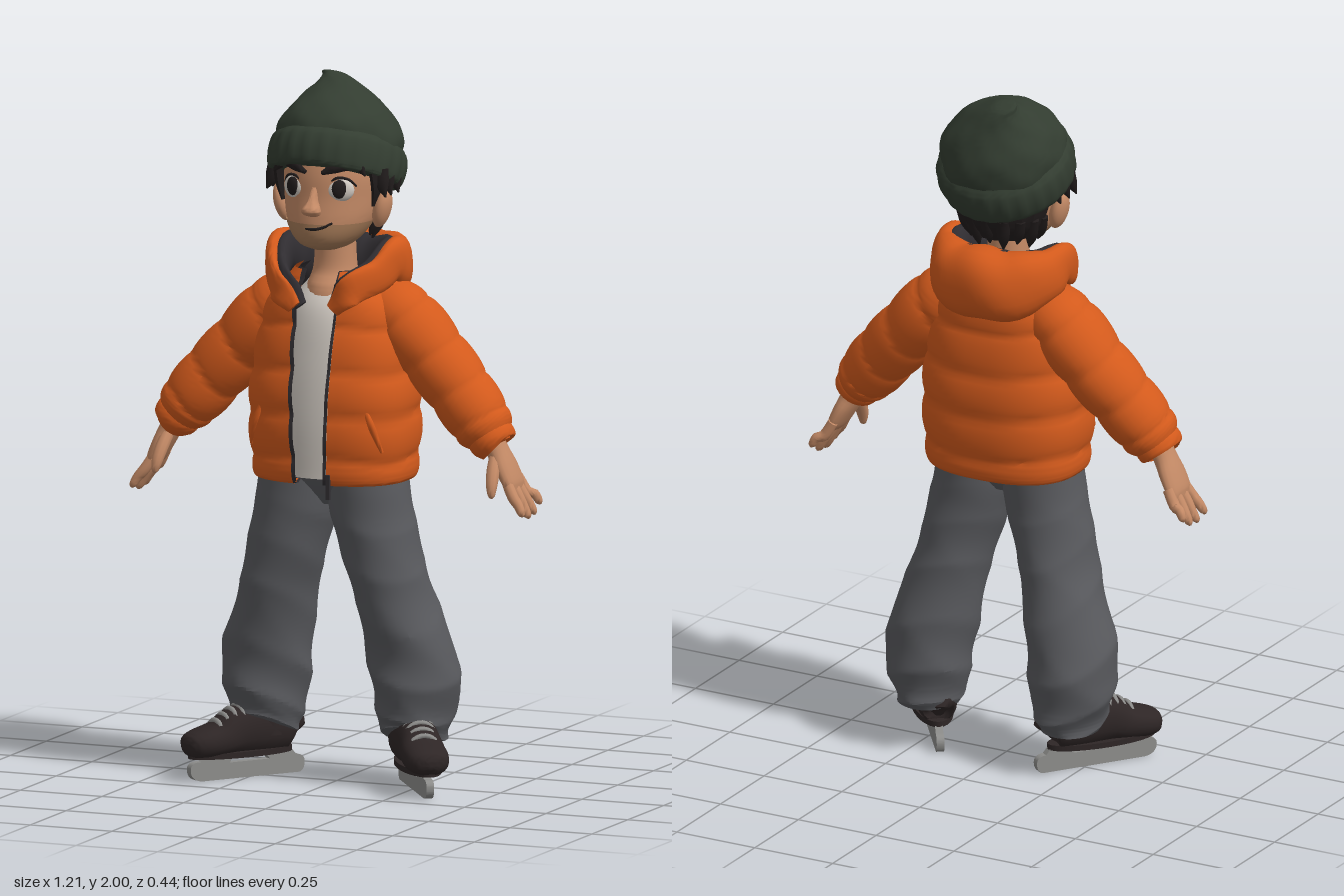
import * as THREE from 'three';
import { toCreasedNormals } from 'three/addons/utils/BufferGeometryUtils.js';

const PI = Math.PI, TAU = PI * 2;
const mat = (name, color, side = THREE.FrontSide) => {
  const m = new THREE.MeshStandardMaterial({ color, side });
  m.name = name;
  return m;
};

// Skin a row of elliptical sections [x, y, z, radiusA, radiusB]
function loft(secs, o = {}) {
  const { seg = 24, rings = 24, ref = [0, 0, 1], level = false, e = 1, grow = 0, u0 = 0, u1 = 1,
    caps = true, crease = 0.9, arc = () => [0, TAU], bump = () => 1, warp = () => {} } = o;
  const curve = f => new THREE.CatmullRomCurve3(secs.map(f), false, 'catmullrom', 0.5);
  const path = curve(s => new THREE.Vector3(s[0], s[1], s[2]));
  const size = curve(s => new THREE.Vector3(s[3], s[4], 0));
  const pos = [], idx = [], up = new THREE.Vector3(...ref);
  const pw = v => Math.sign(v) * Math.abs(v) ** e;
  for (let i = 0; i <= rings; i++) {
    const u = u0 + (u1 - u0) * i / rings, c = path.getPoint(u), r = size.getPoint(u);
    const t = level ? new THREE.Vector3(0, 1, 0) : path.getTangent(u);
    const B = up.clone().addScaledVector(t, -up.dot(t)).normalize();
    const A = t.clone().cross(B);
    const [a0, a1] = arc(u);
    for (let j = 0; j <= seg; j++) {
      const a = a0 + (a1 - a0) * j / seg, k = bump(u, a, c);
      const p = c.clone().addScaledVector(A, (r.x * k + grow) * pw(Math.cos(a)))
        .addScaledVector(B, (r.y * k + grow) * pw(Math.sin(a)));
      warp(p, u, a);
      pos.push(p.x, p.y, p.z);
    }
  }
  const w = seg + 1;
  for (let i = 0; i < rings; i++) for (let j = 0; j < seg; j++) {
    const p = i * w + j;
    idx.push(p, p + w, p + 1, p + 1, p + w, p + w + 1);
  }
  if (caps) [[u0, 0], [u1, rings * w]].forEach(([u, base], end) => {
    const c = path.getPoint(u), n = pos.length / 3;
    pos.push(c.x, c.y, c.z);
    for (let j = 0; j < seg; j++) idx.push(n, base + j + end, base + j + 1 - end);
  });
  const g = new THREE.BufferGeometry();
  g.setAttribute('position', new THREE.Float32BufferAttribute(pos, 3));
  g.setIndex(idx);
  return toCreasedNormals(g, crease);
}

export function createModel() {
  const D = THREE.DoubleSide;
  const orange = mat('jacket orange', 0xd35a1c, D), lining = mat('lining charcoal', 0x302d31, D),
    grey = mat('trouser grey', 0x595a5e), green = mat('knit green', 0x333d31), skin = mat('skin', 0xc48a66),
    stubble = mat('stubble', 0xa67b58, D), black = mat('hair black', 0x211c1c, D),
    cream = mat('shirt cream', 0xcfc8c0), leather = mat('boot leather', 0x2e2626), steel = mat('steel', 0x8d8d8b);
  const model = new THREE.Group();
  const add = (name, geo, m, parent = model) => {
    const mesh = new THREE.Mesh(geo, m);
    mesh.name = name;
    parent.add(mesh);
    return mesh;
  };
  const ball = (name, m, p, s, parent = model) => {
    const b = add(name, new THREE.SphereGeometry(1, 20, 14), m, parent);
    b.position.set(...p);
    b.scale.set(...s);
    return b;
  };
  const group = (name, parent = model) => {
    const g = new THREE.Group();
    g.name = name;
    parent.add(g);
    return g;
  };

  // Jacket body: quilted shell, open at the front
  const body = [[0, .885, .01, .2, .16], [0, .875, .01, .225, .18], [0, .94, .01, .238, .192], [0, 1.1, .01, .243, .195],
    [0, 1.25, .005, .226, .178], [0, 1.36, 0, .2, .16], [0, 1.43, 0, .145, .145], [0, 1.47, 0, .11, .12]];
  const gap = u => .15 + .3 * u ** 3;
  const puff = (x, d) => 1 - d + d * Math.abs(Math.sin(PI * x)) ** .5;
  const quilt = (u, a, c) => puff((c.y - .94) / .125 + .06 * Math.sin(3 * a), .06);
  const shell = { level: true, e: .8, caps: false, seg: 56, rings: 70, bump: quilt };
  const open = u => [PI / 2 + gap(u), PI / 2 + TAU - gap(u)];
  add('jacketBody', loft(body, { ...shell, arc: open }), orange);
  add('jacketLining', loft(body, { ...shell, arc: open, grow: -.014, rings: 40 }), lining);
  for (const s of [1, -1]) {
    const edge = u => [PI / 2 - s * gap(u), PI / 2 - s * (gap(u) - .035)].sort((p, q) => p - q);
    add('zip', loft(body, { ...shell, seg: 2, arc: edge, grow: .003, u0: .14 }), lining);
    add('pocketWelt', loft([[s * .155, 1.1, .163, .005, .005], [s * .178, 1.04, .16, .011, .01],
      [s * .2, .97, .141, .005, .005]], { seg: 8, rings: 8 }), orange);
  }
  const pull = add('zipPull', new THREE.BoxGeometry(.012, .07, .01), lining);
  pull.position.set(.058, .87, .195);

  // Hood folded down round the neck, with thin collar ends and a wide lining
  const half = [[.06, 1.37, .165, .01, .022], [.112, 1.428, .163, .013, .044], [.16, 1.46, .085, .02, .05],
    [.176, 1.495, .01, .028, .06], [.158, 1.482, -.06, .046, .077], [.092, 1.458, -.116, .076, .097]];
  const flip = ([x, ...r]) => [-x, ...r];
  const hood = [...half, [0, 1.455, -.137, .085, .104], ...half.map(flip).reverse()];
  add('hood', loft(hood, { ref: [0, 1, 0], seg: 20, rings: 60, e: .85,
    bump: (u, a) => 1 + .035 * Math.sin(u * 50 + 2 * Math.sin(a)) }), orange);
  add('hoodLining', loft(hood.map(([x, y, z, a, b]) => [x * .86, y, z * .85 - .002, a * .85 + .006, b * .96]),
    { ref: [0, 1, 0], seg: 16, rings: 48 }), lining);

  // Shirt and neck
  add('shirt', loft([[0, .885, .01, .18, .155], [0, 1.05, .01, .185, .16], [0, 1.22, .01, .175, .15],
    [0, 1.36, .005, .13, .13], [0, 1.44, 0, .07, .075]], { level: true }), cream);
  add('neck', loft([[0, 1.36, .02, .085, .1], [0, 1.42, .015, .075, .09], [0, 1.47, .01, .062, .064],
    [0, 1.57, .01, .056, .06]], { level: true }), skin);

  // Trousers
  add('trouserSeat', loft([[0, .8, .018, .1, .06], [0, .84, .018, .16, .09], [0, .89, .02, .19, .115],
    [0, .96, .02, .19, .13]], { level: true, e: .85 }), grey);

  for (const s of [1, -1]) {
    const side = s > 0 ? 'left' : 'right';
    const mx = secs => secs.map(([x, ...r]) => [x * s, ...r]);

    // Sleeve and cuff
    const arm = group(side + 'Arm');
    add('sleeve', loft(mx([[.13, 1.385, -.02, .075, .09], [.2, 1.322, -.02, .1, .112], [.295, 1.222, -.018, .097, .11],
      [.38, 1.13, -.005, .094, .102], [.448, 1.05, .008, .087, .095], [.48, 1.01, .014, .066, .076]]),
    { seg: 28, rings: 60, bump: (u, a) => puff(u * 5 + .1 * Math.sin(2 * a), .09) }), orange, arm);
    add('cuff', loft(mx([[.465, 1.03, .012, .06, .07], [.478, 1.013, .013, .067, .076], [.492, .992, .015, .062, .072],
      [.495, .988, .015, .045, .05]]), { rings: 10 }), orange, arm);

    // Hand with splayed fingers
    const hand = group(side + 'Hand');
    add('palm', loft(mx([[.475, 1.02, .015, .034, .038], [.5, .975, .015, .031, .04], [.522, .935, .013, .028, .053],
      [.545, .89, .01, .022, .056], [.555, .87, .01, .013, .048]]), { rings: 14, seg: 18 }), skin, hand);
    [[.05, .803], [.018, .792], [-.012, .797], [-.04, .82]].forEach(([z, y]) => add('finger', loft(mx([
      [.538, .9, z * .9, .015, .016], [.563, .857, z * 1.1 + .002, .016, .016], [.583, y + .03, z * 1.25, .014, .014],
      [.595, y + .009, z * 1.35, .011, .011], [.599, y, z * 1.35, .003, .003]]), { seg: 10, rings: 12 }), skin, hand));
    add('thumb', loft(mx([[.5, .965, .03, .017, .022], [.507, .925, .066, .019, .019], [.512, .888, .088, .016, .016],
      [.515, .862, .096, .01, .01], [.516, .854, .097, .002, .002]]), { seg: 10, rings: 12 }), skin, hand);

    // Trouser leg, wrinkled towards the hem
    const fold = x => 1 - 2 * Math.abs(Math.sin(x));
    add(side + 'TrouserLeg', loft(mx([[.225, .13, -.03, .088, .11], [.226, .18, -.03, .102, .125], [.23, .27, -.03, .122, .136],
      [.218, .38, -.022, .126, .132], [.183, .52, -.002, .112, .129], [.156, .62, .012, .111, .125],
      [.131, .72, .018, .117, .121], [.112, .8, .02, .119, .118], [.1, .91, .02, .115, .118]]), {
      level: true, seg: 36, rings: 70, crease: .45,
      bump: (u, a) => 1 + (.04 * (1 - u) ** 1.2 + .003) *
        (fold(19 * u + 1.3 * Math.sin(a * s + .6)) + .7 * fold(11 * u - 1.5 * a) + .3),
      warp: (p, u, a) => { p.y += .05 * Math.max(0, Math.sin(a)) * (1 - u) ** 5; } }), grey);

    // Ice skate, toe turned out
    const skate = group(side + 'Skate');
    skate.position.set(s * .26, 0, .04);
    skate.rotation.y = s * .63;
    add('boot', loft([[0, .115, -.152, .015, .025], [0, .13, -.135, .05, .06], [0, .14, -.06, .06, .075],
      [0, .136, .03, .059, .068], [0, .117, .09, .064, .05], [0, .107, .15, .062, .041], [0, .102, .185, .046, .031],
      [0, .1, .2, .012, .01]], { ref: [0, 1, 0], seg: 20, rings: 32, e: .85 }), leather, skate);
    add('ankle', loft([[0, .12, -.06, .06, .075], [0, .18, -.055, .06, .08], [0, .23, -.06, .06, .07]],
      { level: true, rings: 8 }), leather, skate);
    const sole = add('sole', new THREE.CylinderGeometry(1, 1, .016, 28), leather, skate);
    sole.position.set(0, .073, .02);
    sole.scale.set(.058, 1, .165);
    [[.03, .203], [.053, .194], [.076, .18], [.1, .165]].forEach(([z, y]) => {
      const lace = add('lace', new THREE.TorusGeometry(.042, .008, 6, 12, PI), steel, skate);
      lace.position.set(0, y - .038, z);
      lace.rotation.z = z > .06 ? .15 : -.15;
    });
    const runner = new THREE.Shape();
    runner.moveTo(-.165, 0).lineTo(.15, 0).quadraticCurveTo(.19, .005, .186, .04).quadraticCurveTo(.18, .058, .15, .055)
      .lineTo(.13, .07).lineTo(-.14, .07).lineTo(-.155, .052).quadraticCurveTo(-.185, .05, -.183, .025)
      .quadraticCurveTo(-.18, .002, -.165, 0);
    const slot = new THREE.Path();
    slot.moveTo(-.07, .046).lineTo(-.06, .06).lineTo(.05, .06).lineTo(.06, .046).closePath();
    runner.holes.push(slot);
    const blade = add('blade', new THREE.ExtrudeGeometry(runner, { depth: .022, bevelEnabled: false }), steel, skate);
    blade.rotation.y = -PI / 2;
    blade.position.x = .011;

    // Ear, eye, lid and brow
    ball(side + 'Ear', skin, [s * .152, 1.645, .03], [.024, .056, .036]).rotation.z = -s * .25;
    const eye = group(side + 'Eye');
    eye.position.set(s * .07, 1.708, .135);
    eye.rotation.y = s * .4;
    ball('eyeWhite', cream, [0, 0, 0], [.039, .033, .017], eye);
    ball('iris', black, [-s * .003, .003, .009], [.023, .027, .011], eye);
    add(side + 'Lid', loft(mx([[.036, 1.722, .148, .003, .003], [.063, 1.743, .147, .004, .005], [.092, 1.739, .131, .004, .005],
      [.109, 1.718, .112, .003, .003]]), { seg: 6, rings: 10 }), black);
    add(side + 'Brow', loft(mx([[.025, 1.757, .163, .006, .007], [.06, 1.772, .157, .014, .008],
      [.095, 1.776, .133, .012, .008], [.12, 1.757, .105, .003, .004]]), { seg: 8, rings: 12 }), black);
    add('sideburn', loft(mx([[.145, 1.78, .06, .014, .05], [.147, 1.71, .058, .012, .03], [.138, 1.655, .062, .004, .008]]),
      { seg: 10, rings: 8 }), black);
  }

  // Head with shaded jaw
  const head = [[0, 1.53, .07, .035, .05], [0, 1.545, .072, .07, .082], [0, 1.575, .055, .102, .115],
    [0, 1.62, .035, .126, .136], [0, 1.68, .02, .138, .144], [0, 1.75, .01, .143, .15], [0, 1.84, 0, .13, .14]];
  add('head', loft(head, { level: true, seg: 32, rings: 36 }), skin);
  add('jawShade', loft(head, { level: true, u1: .47, grow: .003, caps: false, rings: 14,
    arc: () => [-.1, PI + .1] }), stubble);
  add('nose', loft([[0, 1.633, .165, .012, .012], [0, 1.641, .175, .026, .024], [0, 1.655, .181, .027, .029],
    [0, 1.677, .168, .015, .024], [0, 1.715, .153, .009, .013]], { level: true, seg: 16, rings: 16 }), skin);
  add('mouth', loft([[-.045, 1.598, .16, .003, .003], [0, 1.597, .176, .004, .004], [.03, 1.603, .171, .004, .004],
    [.055, 1.616, .158, .003, .003]], { seg: 6, rings: 12 }), black);

  // Hair: back shell, ragged nape and swept fringe
  add('backHair', loft([[0, 1.57, -.025, .085, .07], [0, 1.62, -.018, .125, .105], [0, 1.7, -.01, .148, .132],
    [0, 1.79, 0, .155, .15]], { level: true, caps: false, arc: () => [PI - .1, TAU + .1], crease: .5,
    bump: (u, a) => 1 + .025 * Math.sin(a * 18) }), black);
  const tuft = (x, y, z, len, tx, tz) => add('hairTuft', loft([[x, y, z, .024, .016],
    [x + tx * .4, y - len * .55, z + tz * .5, .02, .013], [x + tx, y - len, z + tz, .002, .002]],
  { seg: 8, rings: 8 }), black);
  for (let i = 0; i <= 8; i++) {
    const a = PI + PI * i / 8;
    tuft(Math.cos(a) * .12, 1.64, -.02 + Math.sin(a) * .095, .08 + .015 * (i % 2), -Math.cos(a) * .02, .02);
  }
  for (const [x, tx, len] of [[-.1, -.04, .08], [-.075, -.035, .055], [-.04, -.04, .04], [0, -.035, .03],
    [.035, .035, .035], [.075, .04, .045], [.1, .04, .075]])
    tuft(x, 1.825, .147 * Math.sqrt(1 - (x / .15) ** 2), len, tx, .012);
  for (const s of [1, -1]) for (const z of [.06, .02, -.03]) tuft(s * .16, 1.76, z, .075, s * .022, .015);

  // Knitted hat, tipped back, with a floppy point
  const hat = group('hat');
  hat.position.set(-.005, 1.727, .005);
  hat.rotation.x = -.38;
  add('hatBrim', loft([[0, -.012, 0, .172, .175], [0, -.004, 0, .188, .189], [0, .04, 0, .195, .197], [0, .08, 0, .19, .191],
    [0, .1, 0, .175, .174]], { level: true, seg: 96, rings: 14, crease: .6,
    bump: (u, a) => 1 + .012 * Math.sin(a * 24) * Math.sin(PI * u) + .01 * Math.sin(3 * a + 5 * u) }), green, hat);
  add('hatCrown', loft([[0, .07, 0, .18, .176], [0, .12, 0, .178, .174], [-.003, .17, -.005, .157, .152],
    [-.01, .215, -.01, .118, .114], [-.024, .25, -.018, .08, .073], [-.04, .277, -.02, .05, .048],
    [-.058, .293, -.018, .032, .03], [-.075, .296, -.014, .008, .008]], { level: true, seg: 40, rings: 40, crease: .6,
    bump: (u, a) => 1 + .018 * Math.sin(5 * a + 14 * u) + .012 * Math.sin(9 * a - 20 * u) }), green, hat);
  return model;
}
